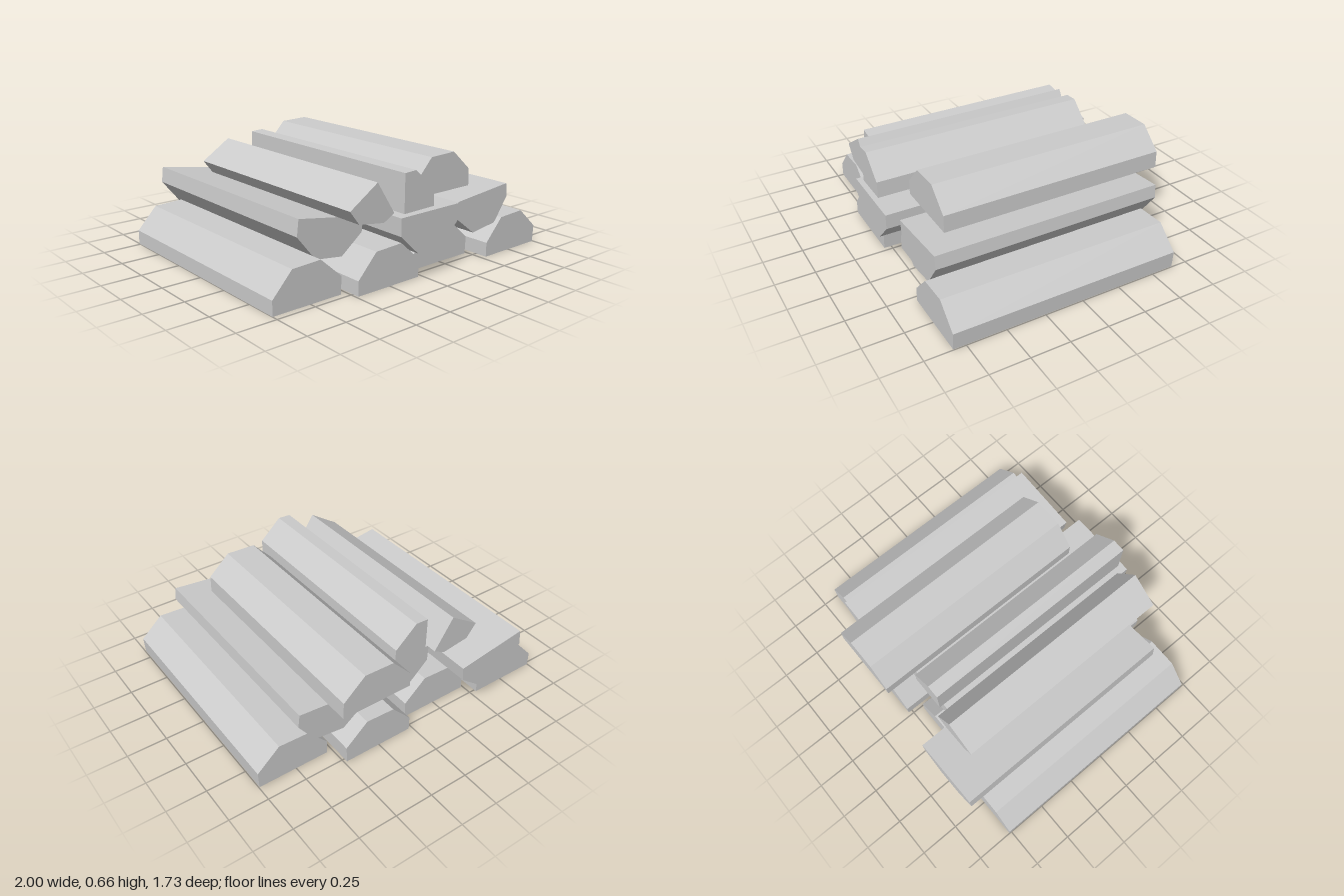
import * as THREE from 'three';

const LENGTH = 1.475;

// Bottom row: one split-log section, open underneath, repeated
const half = [[0, 0], [0.46, 0], [0.465, 0.108], [0.32, 0.238], [0.13, 0.23], [0, 0.09]];
const bottomRow = [[-1, -0.765], [-0.487, -0.68], [0.022, -0.775], [0.535, -0.648]];

// Middle row: flat side up, resting in the gaps
const middleRow = [
  { back: -0.864, section: [[-0.75, 0.453], [-0.762, 0.353], [-0.636, 0.198], [-0.45, 0.173], [-0.303, 0.286], [-0.293, 0.379]] },
  { back: -0.612, section: [[-0.24, 0.414], [-0.236, 0.306], [-0.102, 0.18], [0.098, 0.187], [0.227, 0.32], [0.227, 0.414]] },
  { back: -0.68, section: [[0.273, 0.388], [0.288, 0.286], [0.44, 0.17], [0.637, 0.195], [0.745, 0.346], [0.735, 0.43]] },
];

// Top row: a tilted quarter, an upright quarter and a half
const topRow = [
  { back: -0.685, section: [[-0.545, 0.494], [-0.48, 0.409], [-0.3, 0.383], [-0.223, 0.425], [-0.35, 0.621]] },
  { back: -0.642, section: [[-0.187, 0.421], [0.046, 0.424], [0.041, 0.527], [-0.103, 0.658], [-0.187, 0.654]] },
  { back: -0.828, section: [[0.086, 0.418], [0.55, 0.418], [0.547, 0.527], [0.406, 0.654], [0.214, 0.648], [0.086, 0.51]] },
];

// Drops the triangles that lie flat on the ground
function openUnderneath(geometry) {
  const p = geometry.attributes.position;
  const kept = [];
  for (let i = 0; i < p.count; i += 3) {
    const corners = [i, i + 1, i + 2];
    if (corners.some((c) => p.getY(c) > 0.001)) kept.push(...corners);
  }
  geometry.setIndex(kept);
  return geometry.toNonIndexed();
}

export function createModel() {
  const group = new THREE.Group();
  group.name = 'logPile';
  const material = new THREE.MeshStandardMaterial({ color: 0xcccccc, flatShading: true, side: THREE.DoubleSide });

  // Straight log: a section extruded along z
  function addLog(name, section, back, x = 0) {
    const shape = new THREE.Shape(section.map(([px, py]) => new THREE.Vector2(px, py)));
    const geometry = new THREE.ExtrudeGeometry(shape, { depth: LENGTH, bevelEnabled: false });
    const log = new THREE.Mesh(openUnderneath(geometry), material);
    log.name = name;
    log.position.set(x, 0, back);
    group.add(log);
  }

  bottomRow.forEach(([x, back], i) => addLog(`bottomLog${i + 1}`, half, back, x));
  middleRow.forEach(({ section, back }, i) => addLog(`middleLog${i + 1}`, section, back));
  topRow.forEach(({ section, back }, i) => addLog(`topLog${i + 1}`, section, back));

  return group;
}
